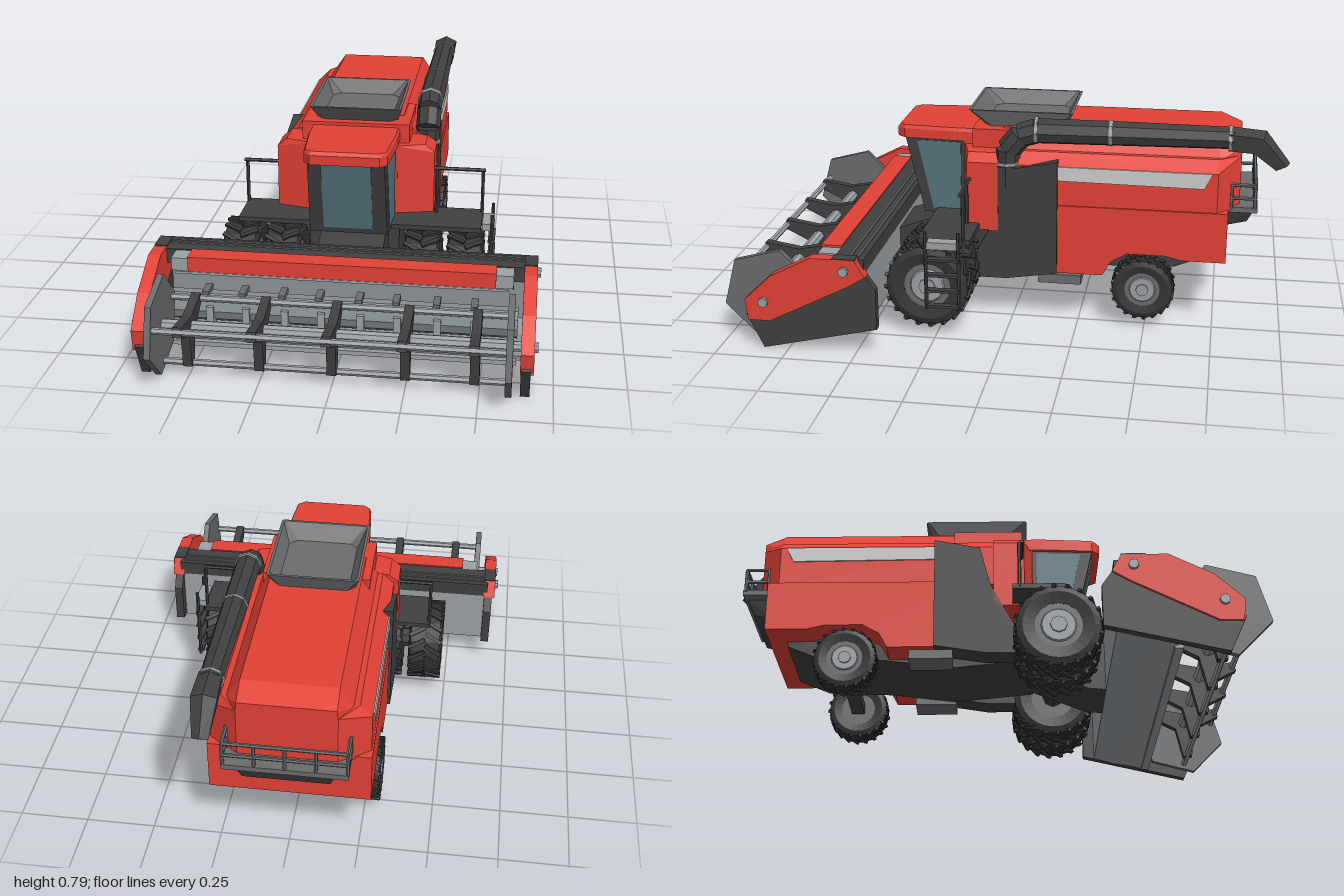
import * as THREE from 'three';
import { ConvexGeometry } from 'three/addons/geometries/ConvexGeometry.js';

const paint = (name, color) => Object.assign(new THREE.MeshStandardMaterial({ color }), { name });

export function createModel() {
  const red = paint('red paint', 0xe24136), dark = paint('dark metal', 0x404040), tyre = paint('tyre rubber', 0x363636);
  const grey = paint('grey metal', 0x6a6c6e), steel = paint('light steel', 0x9ba1a5), silver = paint('silver stripe', 0xcccccc);
  const glass = paint('tinted glass', 0x587480), sheet = paint('header sheet metal', 0x858d91);
  const model = new THREE.Group();
  model.name = 'combineHarvester';
  const group = (name, parent = model) => {
    const g = new THREE.Group();
    g.name = name;
    parent.add(g);
    return g;
  };
  // every part is faceted
  const add = (parent, name, geo, mat) => {
    const flat = geo.index ? geo.toNonIndexed() : geo;
    flat.computeVertexNormals();
    const m = new THREE.Mesh(flat, mat);
    m.name = name;
    parent.add(m);
  };
  const V = (p) => new THREE.Vector3(...p);
  const box = (x0, x1, y0, y1, z0, z1) =>
    new THREE.BoxGeometry(x1 - x0, y1 - y0, z1 - z0).translate((x0 + x1) / 2, (y0 + y1) / 2, (z0 + z1) / 2);
  const hull = (pts) => new ConvexGeometry(pts.map(V));
  // side profile of [z, y] points, extruded from x0 to x1
  const side = (pts, x0, x1) => new THREE.ExtrudeGeometry(new THREE.Shape(pts.map((p) => new THREE.Vector2(...p))),
    { depth: x1 - x0, bevelEnabled: false }).rotateY(-Math.PI / 2).translate(x1, 0, 0);
  const rod = (a, b, r, n = 6, r2 = r) => {
    const A = V(a), B = V(b), d = B.clone().sub(A);
    const q = new THREE.Quaternion().setFromUnitVectors(new THREE.Vector3(0, 1, 0), d.clone().normalize());
    const c = A.add(B).multiplyScalar(0.5);
    return new THREE.CylinderGeometry(r2, r, d.length(), n).applyQuaternion(q).translate(c.x, c.y, c.z);
  };
  const both = (f) => [-1, 1].forEach(f);
  const mirror = (x) => [-x, x];
  const span = (s, a, b) => (s > 0 ? [a, b] : [-b, -a]);

  // ---- main body, slightly off centre
  const body = group('body');
  body.position.x = -0.01;
  const section = (pts, z, limit, drop) => pts.flatMap(([x, y]) =>
    mirror(Math.min(x, limit)).map((px) => [px, y - (y > 0.65 ? drop : 0), z]));
  const lowerSection = [[0.278, 0.45], [0.278, 0.608], [0.235, 0.65]], roofSection = [[0.222, 0.64], [0.168, 0.718]];
  [['upperBody', lowerSection], ['roof', roofSection]].forEach(([name, pts]) => add(body, name, hull(
    [...section(pts, 0.05, 1, 0), ...section(pts, -0.75, 1, 0), ...section(pts, -0.83, 0.172, 0.035)]), red));
  add(body, 'lowerBody', side([[0.0, 0.46], [-0.79, 0.46], [-0.79, 0.27], [-0.63, 0.27], [-0.57, 0.285], [-0.43, 0.285],
    [-0.37, 0.25], [-0.34, 0.195], [0.0, 0.195]], -0.284, 0.284), red);
  add(body, 'shoulder', box(-0.2, 0.2, 0.6, 0.715, -0.1, 0.16), red);
  add(body, 'cabRear', box(-0.16, 0.16, 0.355, 0.7, 0.04, 0.2), red);
  both((s) => {
    add(body, 'sideStripe', side([[-0.17, 0.608], [-0.73, 0.608], [-0.7, 0.55], [-0.17, 0.555]], ...span(s, 0.277, 0.283)), silver);
    add(body, 'middlePanel', side([[-0.17, 0.63], [0, 0.595], [0.04, 0.44], [0.13, 0.27], [0.13, 0.165], [0.02, 0.165],
      [-0.17, 0.195]], ...span(s, 0.2, 0.295)), dark);
    add(body, 'sideCabinet', hull([0.355, 0.615, 0.645].flatMap((y) => {
      const x = y > 0.63 ? 0.26 : 0.295;
      return [[s * 0.15, y, 0.05], [s * x, y, 0.05], [s * x, y, 0.165], [s * 0.15, y, 0.2]];
    })), red);
    add(body, 'stepBox', box(...span(s, 0.17, 0.28), 0.15, 0.185, -0.26, -0.1), grey);
  });
  add(body, 'chassis', side([[0.2, 0.33], [0.2, 0.19], [-0.1, 0.16], [-0.35, 0.19], [-0.6, 0.2], [-0.72, 0.25],
    [-0.72, 0.33]], -0.17, 0.17), dark);

  // ---- cab
  const cab = group('cab', body);
  const cabX = (z) => 0.152 - 0.06 * (z - 0.2);
  const cabCorner = (s, y, z) => [s * cabX(z), y, z];
  add(cab, 'cabFrame', hull([-1, 1].flatMap((s) => [cabCorner(s, 0.36, 0.36), cabCorner(s, 0.655, 0.43),
    cabCorner(s, 0.36, 0.2), cabCorner(s, 0.655, 0.2)])), dark);
  add(cab, 'windscreen', side([[0.366, 0.38], [0.434, 0.65], [0.42, 0.65], [0.35, 0.38]], -0.09, 0.09), glass);
  both((s) => add(cab, 'sideWindow', hull([[0.375, 0.215], [0.375, 0.325], [0.645, 0.385], [0.645, 0.215]]
    .flatMap(([y, z]) => [[s * (cabX(z) + 0.003), y, z], [s * (cabX(z) - 0.003), y, z]])), glass));
  add(cab, 'cabRoof', hull([[0.655, 1], [0.69, 1], [0.703, 0.96]].flatMap(([y, k]) => [-1, 1].flatMap((s) =>
    [[s * 0.165 * k, y, 0.1], [s * 0.165 * k, y, 0.24], [s * 0.15 * k, y, 0.43], [s * 0.125 * k, y, 0.46 * (k + 1) / 2]]))), red);

  // ---- open grain tank: leaning walls with cut corners, and a floor
  const tank = group('grainTank', body);
  const ring = (hx, z0, z1, y, c) => [[-hx + c, z0], [hx - c, z0], [hx, z0 + c], [hx, z1 - c], [hx - c, z1], [-hx + c, z1],
    [-hx, z1 - c], [-hx, z0 + c]].map(([x, z]) => [x, y, z]);
  const rings = [ring(0.15, -0.18, 0.12, 0.71, 0.03), ring(0.17, -0.21, 0.18, 0.778, 0.008),
    ring(0.128, -0.168, 0.118, 0.722, 0.03), ring(0.16, -0.2, 0.17, 0.778, 0.008)];
  for (let i = 0; i < 8; i++) {
    add(tank, 'tankWall', hull(rings.flatMap((r) => [r[i], r[(i + 1) % 8]])), grey);
  }
  add(tank, 'tankFloor', box(-0.13, 0.13, 0.71, 0.726, -0.17, 0.12), grey);

  // ---- unloading auger
  const auger = group('unloadingAuger');
  const ax = 0.247;
  const path = [[0.02, 0.44, 0.034], [0.02, 0.6, 0.042], [0.015, 0.66, 0.046], [-0.03, 0.715, 0.046], [-0.09, 0.735, 0.047],
    [-0.36, 0.738, 0.046], [-0.8, 0.74, 0.041]];
  path.slice(1).forEach(([z, y, r], i) =>
    add(auger, 'augerTube', rod([ax, path[i][1], path[i][0]], [ax, y, z], path[i][2], 8, r), dark));
  add(auger, 'augerFoot', hull([0.2, 0.284].flatMap((x) => [[x, 0.43, 0.06], [x, 0.43, -0.01], [x, 0.6, 0.06], [x, 0.6, -0.05]])), dark);
  [-0.09, -0.36, -0.785].forEach((z, i) =>
    add(auger, 'augerClamp', rod([ax, 0.738, z - 0.006], [ax, 0.738, z + 0.006], 0.051 - i * 0.002, 8), steel));
  add(auger, 'augerClamp', rod([ax, 0.605, 0.02], [ax, 0.617, 0.02], 0.049, 8), steel);
  // spout sections: top z and y, bottom z and y, half width
  const spout = [[-0.78, 0.783, -0.78, 0.7, 0.04], [-0.91, 0.772, -0.87, 0.695, 0.045], [-0.998, 0.657, -0.95, 0.632, 0.028]]
    .map(([zt, yt, zb, yb, w]) => [[ax, yt, zt], ...mirror(w).flatMap((x) =>
      [[ax + x, yt * 0.75 + yb * 0.25, zt * 0.75 + zb * 0.25], [ax + x * 0.8, yb, zb]])]);
  [0, 1].forEach((i) => add(auger, 'augerSpout', hull([...spout[i], ...spout[i + 1]]), dark));

  // ---- wheels
  const wheel = (name, x, y, z, R, w, rim, out) => {
    const g = group(name);
    g.position.set(x, y, z);
    const prof = [[rim, -0.42], [R * 0.8, -0.49], [R * 0.95, -0.42], [R * 0.95, 0.42], [R * 0.8, 0.49], [rim, 0.42]];
    add(g, 'tyre', new THREE.LatheGeometry(prof.map(([r, t]) => new THREE.Vector2(r, t * w)), 24).rotateZ(Math.PI / 2), tyre);
    const n = 20;
    for (let i = 0; i < n; i++) {
      both((s) => add(g, 'treadLug', new THREE.BoxGeometry(w * 0.52, R * 0.08, R * 0.09).rotateY(s * 0.5)
        .translate(s * w * 0.24, R * 0.955, 0).rotateX((i + (s > 0 ? 0.5 : 0)) * 2 * Math.PI / n), tyre));
    }
    add(g, 'rim', rod([-w * 0.4, 0, 0], [w * 0.4, 0, 0], rim * 1.02, 16), grey);
    add(g, 'rimDish', rod([out * w * 0.3, 0, 0], [out * w * 0.44, 0, 0], rim * 0.88, 16, rim * 0.7), steel);
    add(g, 'hub', rod([out * w * 0.36, 0, 0], [out * w * 0.5, 0, 0], rim * 0.36, 8), steel);
  };
  both((s) => {
    wheel('frontOuterWheel', s * 0.415, 0.195, 0.28, 0.16, 0.135, 0.085, s);
    wheel('frontInnerWheel', s * 0.257, 0.195, 0.28, 0.16, 0.135, 0.085, s);
    wheel('rearWheel', s * 0.252 - 0.01, 0.15, -0.49, 0.118, 0.095, 0.065, s);
  });
  add(model, 'frontAxle', rod([-0.42, 0.195, 0.28], [0.42, 0.195, 0.28], 0.04, 8), dark);
  add(model, 'rearAxle', box(-0.24, 0.24, 0.13, 0.17, -0.515, -0.465), dark);
  add(model, 'rearAxleMount', box(-0.06, 0.06, 0.15, 0.25, -0.54, -0.44), dark);

  // ---- walkway, hand rails and ladder
  const walk = group('walkway');
  both((s) => {
    const end = s > 0 ? 0.47 : 0.43;
    add(walk, 'platform', box(...span(s, 0.14, end), 0.362, 0.38, 0.12, 0.31), dark);
    add(walk, 'handRail', rod([s * 0.13, 0.55, 0.155], [s * (end + 0.005), 0.55, 0.155], 0.007), dark);
    [s > 0 ? 0.295 : 0.258, end - 0.004].forEach((x, i) =>
      add(walk, 'railPost', rod([s * x, 0.37, 0.165 - i * 0.02], [s * x, 0.55, 0.165 - i * 0.02], 0.007), dark));
  });
  [0.155, 0.275].forEach((z) => add(walk, 'ladderRail', rod([0.508, 0.12, z], [0.508, 0.42, z], 0.007), dark));
  [0.13, 0.19, 0.25, 0.31].forEach((y) => add(walk, 'ladderRung', box(0.495, 0.52, y, y + 0.01, 0.155, 0.275), dark));
  add(walk, 'ladderTop', box(0.472, 0.516, 0.355, 0.382, 0.16, 0.27), steel);

  // ---- rear service platform
  const rear = group('rearPlatform', body);
  add(rear, 'rearDeck', box(-0.215, 0.215, 0.445, 0.465, -0.895, -0.74), grey);
  add(rear, 'rearHood', hull([-1, 1].flatMap((s) => [[s * 0.17, 0.445, -0.78], [s * 0.17, 0.445, -0.885],
    [s * 0.15, 0.39, -0.86], [s * 0.15, 0.37, -0.78]])), dark);
  [0.5, 0.55].forEach((y) => {
    add(rear, 'rearRail', rod([-0.212, y, -0.885], [0.212, y, -0.885], 0.007), grey);
    both((s) => add(rear, 'rearSideRail', rod([s * 0.212, y, -0.885], [s * 0.212, y, -0.74], 0.007), grey));
  });
  [-0.212, -0.105, 0, 0.105, 0.212].forEach((x) => add(rear, 'rearPost', rod([x, 0.46, -0.885], [x, 0.55, -0.885], 0.007), grey));
  both((s) => add(rear, 'rearPost', rod([s * 0.212, 0.46, -0.8], [s * 0.212, 0.55, -0.8], 0.007), grey));

  // ---- feeder house between chassis and header
  add(model, 'feederHouse', side([[0.1, 0.35], [0.3, 0.34], [0.5, 0.27], [0.5, 0.09], [0.4, 0.1], [0.1, 0.22]], -0.12, 0.12), dark);

  // ---- cutting header
  const header = group('header');
  add(header, 'backBeam', box(-0.65, 0.65, 0.3, 0.355, 0.465, 0.575), dark);
  [0.485, 0.515].forEach((z) => add(header, 'beamRib', box(-0.64, 0.64, 0.353, 0.36, z, z + 0.008), grey));
  add(header, 'frontBeam', box(-0.54, 0.54, 0.305, 0.36, 0.575, 0.65), red);
  add(header, 'beamLip', box(-0.585, 0.585, 0.296, 0.305, 0.58, 0.652), steel);
  both((s) => add(header, 'beamEnd', box(...span(s, 0.54, 0.6), 0.305, 0.352, 0.575, 0.645), steel));
  add(header, 'trough', side([[0.47, 0.32], [0.49, 0.32], [0.51, 0.13], [0.56, 0.09], [0.67, 0.062], [0.67, 0.048],
    [0.55, 0.074], [0.47, 0.095]], -0.64, 0.64), sheet);
  add(header, 'troughUnderside', side([[0.67, 0.05], [0.67, 0.045], [0.55, 0.069], [0.465, 0.091], [0.465, 0.3], [0.471, 0.3],
    [0.471, 0.096], [0.55, 0.076]], -0.637, 0.637), steel);
  add(header, 'troughShield', box(-0.6, 0.6, 0.24, 0.29, 0.49, 0.51), dark);
  add(header, 'cutterBar', box(-0.62, 0.62, 0.035, 0.052, 0.66, 0.69), steel);
  add(header, 'feedAuger', rod([-0.62, 0.145, 0.58], [0.62, 0.145, 0.58], 0.055, 10), sheet);
  [-0.47, -0.34, -0.2, -0.07, 0.07, 0.2, 0.34, 0.47].forEach((x) => {
    add(header, 'augerFinger', box(x - 0.012, x + 0.012, 0.23, 0.25, 0.62, 0.69), grey);
    add(header, 'augerPaddle', box(x - 0.013, x + 0.013, 0.08, 0.165, 0.6, 0.642), steel);
  });
  both((s) => {
    add(header, 'sidePanel', side([[0.42, 0.1], [0.84, 0.002], [0.9, 0.13], [0.65, 0.34], [0.49, 0.35], [0.42, 0.25]],
      ...span(s, 0.638, 0.67)), dark);
    add(header, 'sideCover', side([[0.9, 0.19], [0.8, 0.285], [0.65, 0.362], [0.49, 0.362], [0.455, 0.3], [0.52, 0.26],
      [0.81, 0.112], [0.89, 0.112]], ...span(s, 0.635, 0.68)), red);
    add(header, 'sideCap', box(...span(s, 0.634, 0.68), 0.36, 0.365, 0.488, 0.572), dark);
    [[0.32, 0.53], [0.185, 0.83]].forEach(([y, z]) => add(header, 'pivotBolt', rod([s * 0.6, y, z], [s * 0.692, y, z], 0.018, 8), steel));
  });

  // ---- reel with three bars
  const reel = group('reel', header);
  reel.position.set(0, 0.185, 0.83);
  const polar = (r, deg) => [r * Math.cos(deg * Math.PI / 180), r * Math.sin(deg * Math.PI / 180)];
  both((s) => add(reel, 'reelEndPlate',
    side([-15, 45, 105, 165, 225, 285].map((a) => polar(0.176, a)), ...span(s, 0.588, 0.61)), grey));
  add(reel, 'reelShaft', rod([-0.6, 0, 0], [0.6, 0, 0], 0.022, 8), steel);
  [18, 160, 273].forEach((a) => {
    const [z, y] = polar(0.135, a);
    add(reel, 'reelBar', rod([-0.595, y, z], [0.595, y, z], 0.012), steel);
    [-0.5, -0.25, 0, 0.25, 0.485].forEach((x) => add(reel, 'reelArm',
      side([polar(0.04, a - 90), polar(0.145, a - 7), polar(0.145, a + 7), polar(0.04, a + 90)], x - 0.016, x + 0.016), dark));
  });
  return model;
}
